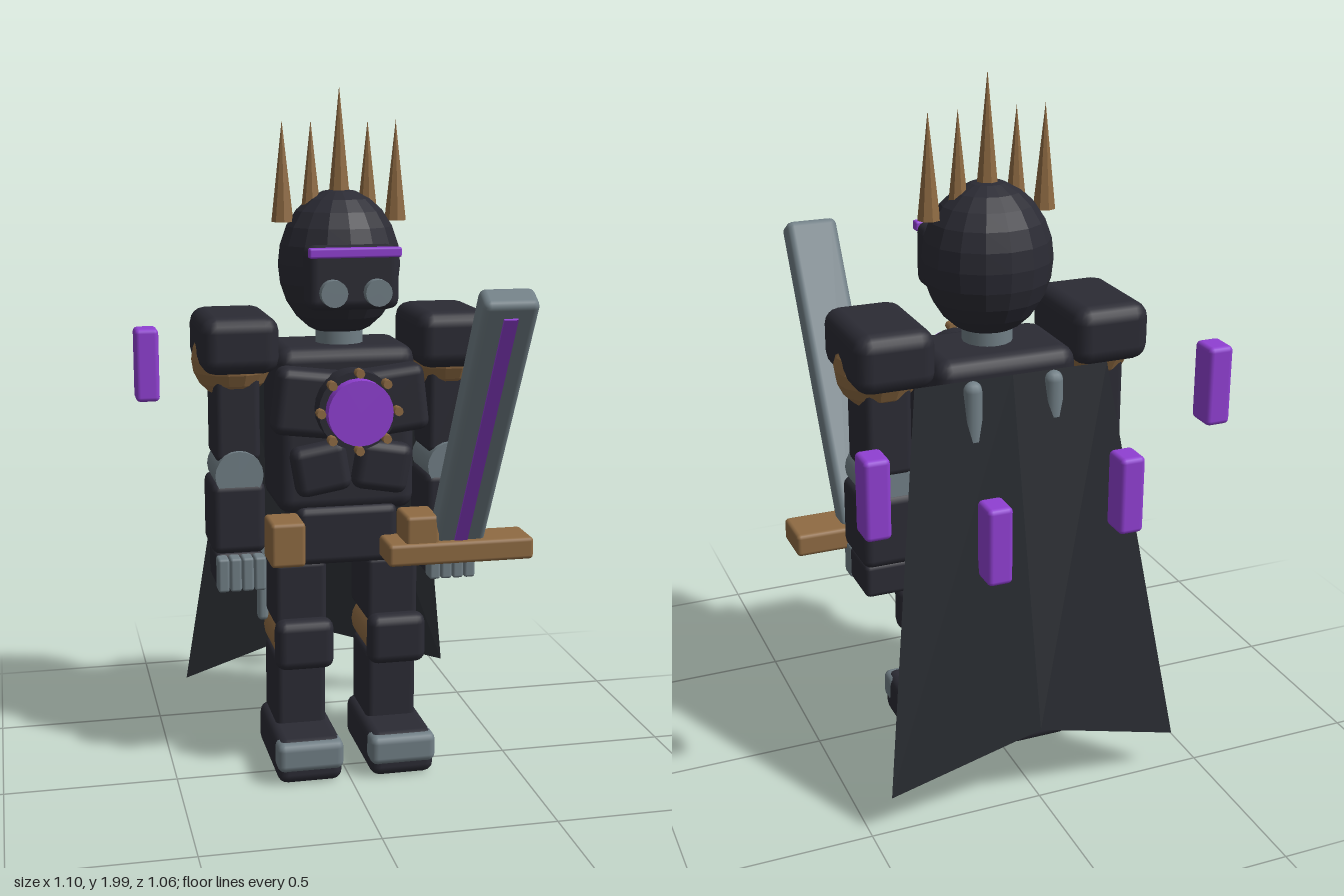
import * as THREE from 'three';
import { RoundedBoxGeometry } from 'three/addons/geometries/RoundedBoxGeometry.js';

const C = 0.018; // body centre line

export function createModel() {
  const root = new THREE.Group();
  root.name = 'armouredKnight';

  const mat = (name, color) => {
    const m = new THREE.MeshStandardMaterial({ color });
    m.name = name;
    return m;
  };
  const armor = mat('dark armor', 0x2b2b34);
  const cloth = mat('cape cloth', 0x25282d);
  cloth.side = THREE.DoubleSide;
  const bronze = mat('bronze', 0x8f6b43);
  const steel = mat('steel', 0x717f86);
  const glow = mat('violet', 0x9040d2);

  const add = (name, geo, m, x, y, z, parent = root) => {
    const mesh = new THREE.Mesh(geo, m);
    mesh.name = name;
    mesh.position.set(x, y, z);
    parent.add(mesh);
    return mesh;
  };
  // Bevelled box given its centre and size
  const box = (name, m, x, y, z, w, h, d, r = 0.025, parent = root) =>
    add(name, new RoundedBoxGeometry(w, h, d, 2, Math.min(r, w * 0.49, h * 0.49, d * 0.49)), m, x, y, z, parent);
  // Cylinder lying along z
  const disc = (name, m, x, y, z, r, depth, sides = 20) =>
    add(name, new THREE.CylinderGeometry(r, r, depth, sides).rotateX(Math.PI / 2), m, x, y, z);
  const faceted = (geo) => {
    const g = geo.toNonIndexed();
    g.computeVertexNormals();
    return g;
  };

  // Head
  const skull = new THREE.SphereGeometry(1, 16, 12);
  skull.scale(0.18, 0.213, 0.17);
  add('head', faceted(skull), armor, C, 1.5, -0.145);
  box('faceMask', armor, C, 1.475, 0.02, 0.265, 0.18, 0.09, 0.03);
  box('visorStripe', glow, C, 1.548, 0.068, 0.262, 0.028, 0.03, 0.006);
  add('neck', new THREE.CylinderGeometry(0.07, 0.07, 0.12, 16), steel, C, 1.28, -0.145);

  // Crown of five spikes
  for (let i = -2; i <= 2; i++) {
    const h = i === 0 ? 0.38 : 0.285;
    const cone = new THREE.ConeGeometry(i === 0 ? 0.038 : 0.032, h, 8);
    add('crownSpike', faceted(cone), bronze, C + i * 0.083, 1.62 + h / 2, -0.143);
  }

  // Torso and pelvis
  box('torso', armor, C, 1.025, -0.165, 0.41, 0.49, 0.28, 0.045);
  box('pelvis', armor, C, 0.715, -0.14, 0.3, 0.175, 0.25, 0.025);

  // Chest emblem with studs
  disc('emblemHousing', armor, C, 1.11, 0.07, 0.112, 0.08, 24);
  disc('emblemCore', glow, C, 1.11, 0.125, 0.093, 0.052, 24);
  for (let i = 0; i < 8; i++) {
    const a = (i * Math.PI) / 4;
    add('emblemStud', new THREE.CylinderGeometry(0.013, 0.013, 0.034, 8).rotateX(Math.PI / 2), bronze,
      C + 0.11 * Math.cos(a), 1.11 + 0.11 * Math.sin(a), 0.128);
  }

  // Paired parts
  for (const s of [-1, 1]) {
    const X = (d) => C + s * d;

    disc('eye', steel, X(0.063), 1.437, 0.08, 0.038, 0.035, 16);

    box('chestPlate', armor, X(0.112), 1.118, 0.0, 0.22, 0.195, 0.095, 0.03).rotation.z = s * 0.12;
    box('bellyPlate', armor, X(0.09), 0.93, 0.02, 0.163, 0.148, 0.075, 0.03).rotation.z = -s * 0.17;
    box('beltPouch', bronze, X(0.197), 0.725, 0.032, 0.1, 0.13, 0.13, 0.012);
    add('backFin', new THREE.CapsuleGeometry(0.027, 0.37, 4, 10), steel, X(0.117), 1.012, -0.328);

    // Arm
    box('shoulderPad', armor, X(0.312), 1.285, -0.143, 0.224, 0.165, 0.325, 0.045);
    add('shoulderJoint', faceted(new THREE.SphereGeometry(0.118, 14, 10)), bronze, X(0.318), 1.232, -0.14);
    box('upperArm', armor, X(0.315), 1.07, -0.142, 0.132, 0.26, 0.175, 0.02);
    disc('elbow', steel, X(0.315), 0.905, -0.13, 0.07, 0.185);
    box('forearm', armor, X(0.317), 0.777, -0.133, 0.157, 0.212, 0.198, 0.025);
    box('palm', armor, X(0.315), 0.62, -0.13, 0.14, 0.1, 0.15, 0.015);
    for (let i = 0; i < 4; i++) {
      box('finger', steel, X(0.262 + i * 0.0355), 0.617, -0.032, 0.033, 0.1, 0.055, 0.008);
    }

    // Leg
    box('thigh', armor, X(0.138), 0.54, -0.145, 0.157, 0.2, 0.225, 0.02);
    box('thighBlade', steel, X(0.226), 0.555, -0.2, 0.032, 0.28, 0.042, 0.014);
    disc('kneeJoint', bronze, X(0.138), 0.383, -0.14, 0.077, 0.212);
    box('kneePad', armor, X(0.138), 0.403, 0.012, 0.173, 0.15, 0.072, 0.03);
    box('shin', armor, X(0.138), 0.225, -0.14, 0.15, 0.24, 0.21, 0.02);
    box('foot', armor, X(0.138), 0.073, -0.065, 0.192, 0.132, 0.36, 0.03);
    box('toeCap', steel, X(0.138), 0.09, 0.085, 0.196, 0.088, 0.08, 0.022);
  }

  // Sword leaning forward from the left hand
  const sword = new THREE.Group();
  sword.name = 'sword';
  sword.position.set(0.33, 0.7, 0.03);
  root.add(sword);
  box('swordGuard', bronze, 0, -0.022, 0.007, 0.436, 0.066, 0.137, 0.012, sword);
  const blade = new THREE.Group();
  blade.name = 'bladeGroup';
  blade.rotation.x = 0.54;
  sword.add(blade);
  box('blade', steel, 0, 0.44, 0, 0.152, 0.92, 0.08, 0.02, blade);
  add('bladeStripe', new THREE.BoxGeometry(0.038, 0.83, 0.009), glow, 0, 0.44, 0.042, blade);

  // Cape: straight collar, swallow-tailed hem
  const cape = new THREE.BufferGeometry();
  cape.setAttribute('position', new THREE.Float32BufferAttribute([
    C - 0.278, 1.225, -0.325, C, 1.225, -0.325, C + 0.278, 1.225, -0.325,
    C - 0.428, 0.125, -0.515, C, 0.255, -0.542, C + 0.428, 0.125, -0.515,
  ], 3));
  cape.setIndex([0, 1, 4, 0, 4, 3, 1, 2, 5, 1, 5, 4]);
  add('cape', faceted(cape), cloth, 0, 0, 0);

  // Floating crystals behind the back
  for (const [x, y] of [[-0.52, 1.172], [-0.268, 0.89], [0.118, 0.807], [0.455, 1.0]]) {
    box('floatingCrystal', glow, x, y, -0.447, 0.072, 0.224, 0.088, 0.014);
  }

  return root;
}
